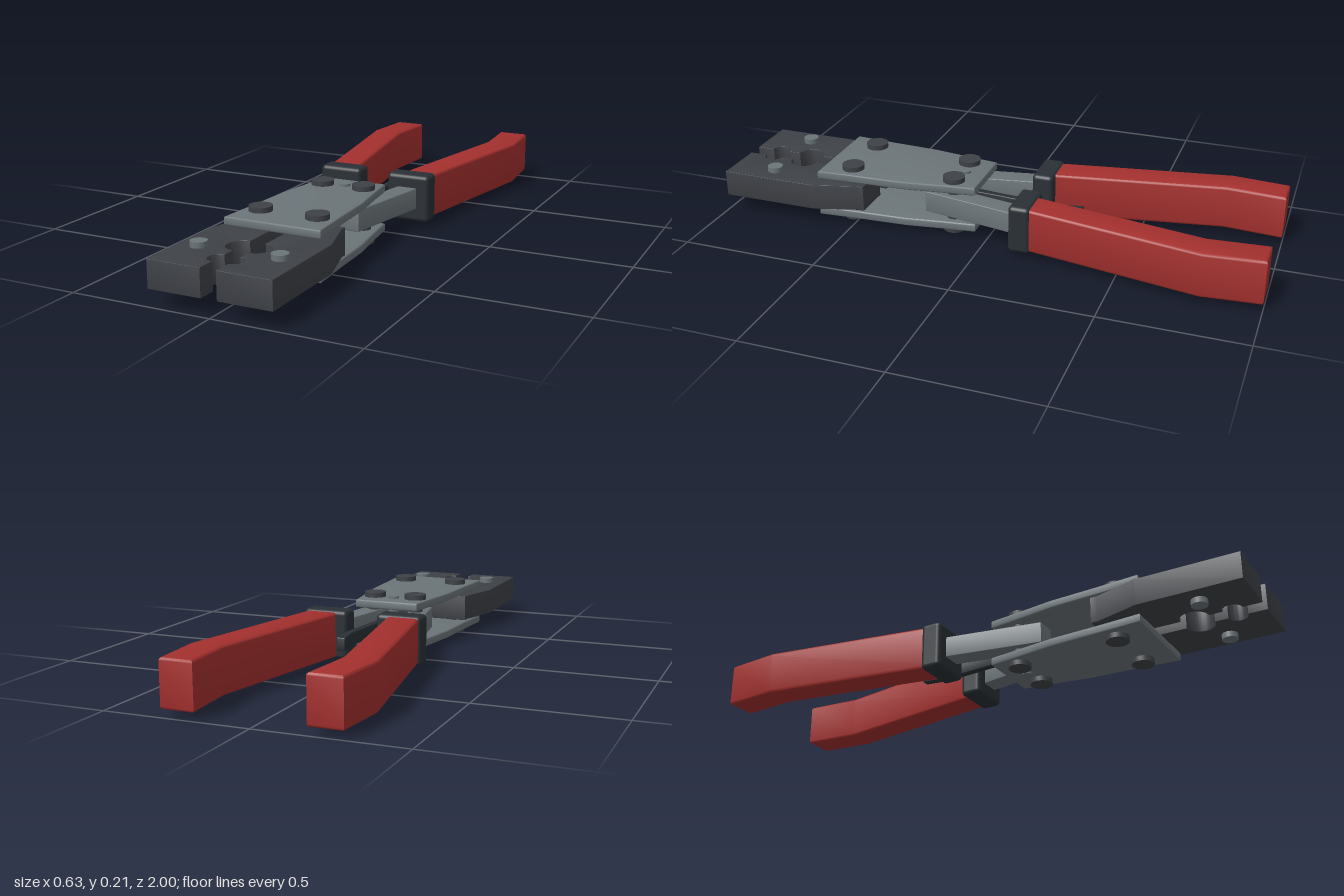
import * as THREE from 'three';
import { RoundedBoxGeometry } from 'three/addons/geometries/RoundedBoxGeometry.js';
import { toCreasedNormals } from 'three/addons/utils/BufferGeometryUtils.js';

const mat = (color) => new THREE.MeshStandardMaterial({ color });

export function createModel() {
  const group = new THREE.Group();
  const steel = mat(0x6b7478), dark = mat(0x3e4146), black = mat(0x2a3035), red = mat(0xa3302e);

  const add = (name, geometry, material) => {
    const mesh = new THREE.Mesh(geometry, material);
    mesh.name = name;
    group.add(mesh);
    return mesh;
  };

  // Flat outline of [x, z] points, extruded between two heights, with optional edge rounding
  const slab = (name, points, y0, y1, bevel, material) => {
    const shape = new THREE.Shape(points.map(([x, z]) => new THREE.Vector2(x, z)));
    const geometry = new THREE.ExtrudeGeometry(shape, {
      depth: y1 - y0 - 2 * bevel, bevelEnabled: bevel > 0, bevelThickness: bevel,
      bevelSize: bevel, bevelOffset: -bevel, bevelSegments: 3,
    });
    geometry.rotateX(Math.PI / 2).translate(0, y1 - bevel, 0);
    return add(name, toCreasedNormals(geometry, 0.6), material);
  };

  const pin = (name, x, z, r, y0, y1, material) => {
    const mesh = add(name, new THREE.CylinderGeometry(r, r, y1 - y0, 32), material);
    mesh.position.set(x, (y0 + y1) / 2, z);
  };

  // Half-round notch cut into the inner edge of a jaw
  const notch = (z, r) => Array.from({ length: 17 }, (_, i) => {
    const a = (i / 16) * Math.PI;
    return [0.028 + r * Math.sin(a), z - r * Math.cos(a)];
  });

  const jaw = [[0.028, 0.46], ...notch(0.77, 0.05), ...notch(0.9, 0.034),
    [0.028, 1], [0.215, 1], [0.215, 0.64], [0.17, 0.485], [0.17, 0.46]];
  const arm = [[0.035, 0.24], [0.11, 0.24], [0.182, -0.16], [0.107, -0.16]];
  const grip = [[0.09, -0.15], [0.205, -0.15], [0.315, -0.795], [0.297, -1],
    [0.183, -1], [0.199, -0.79]];

  for (const [side, s] of [['left', 1], ['right', -1]]) {
    const mirror = (points) => points.map(([x, z]) => [s * x, z]);
    slab(side + 'Jaw', mirror(jaw), 0.058, 0.153, 0.001, dark);
    slab(side + 'Arm', mirror(arm), 0.067, 0.145, 0.003, steel);
    slab(side + 'Grip', mirror(grip), 0.025, 0.185, 0.01, red);

    const collar = add(side + 'Collar', new RoundedBoxGeometry(0.164, 0.174, 0.078, 4, 0.016), black);
    collar.position.set(s * 0.137, 0.105, -0.148);

    // Rivets through both plates, and the pin in each jaw
    for (const [place, x, z] of [['rear', 0.08, 0.14], ['front', 0.105, 0.525]]) {
      pin(`${side}${place}RivetShaft`, s * x, z, 0.026, 0.02, 0.19, dark);
      pin(`${side}${place}RivetTop`, s * x, z, 0.04, 0.18, 0.21, dark);
      pin(`${side}${place}RivetBottom`, s * x, z, 0.04, 0, 0.03, dark);
    }
    pin(side + 'JawPin', s * 0.143, 0.83, 0.028, 0.038, 0.172, steel);
  }

  // Two side plates joining jaws and arms
  const half = [[0.12, 0.047], [0.133, 0.15], [0.155, 0.3], [0.164, 0.48], [0.175, 0.637]];
  const plate = [...half, ...half.map(([x, z]) => [-x, z]).reverse()];
  slab('topPlate', plate, 0.162, 0.192, 0.005, steel);
  slab('bottomPlate', plate, 0.018, 0.048, 0.005, steel);
  pin('centrePin', 0, 0.125, 0.019, 0.01, 0.2, steel);

  // Bent locking lever between the handles
  slab('lever', [[-0.015, 0.12], [0.015, 0.12], [0.022, 0], [0.043, -0.23], [0.03, -0.322],
    [0.002, -0.322], [0.015, -0.23], [-0.002, 0]], 0.082, 0.129, 0.003, black);

  return group;
}
